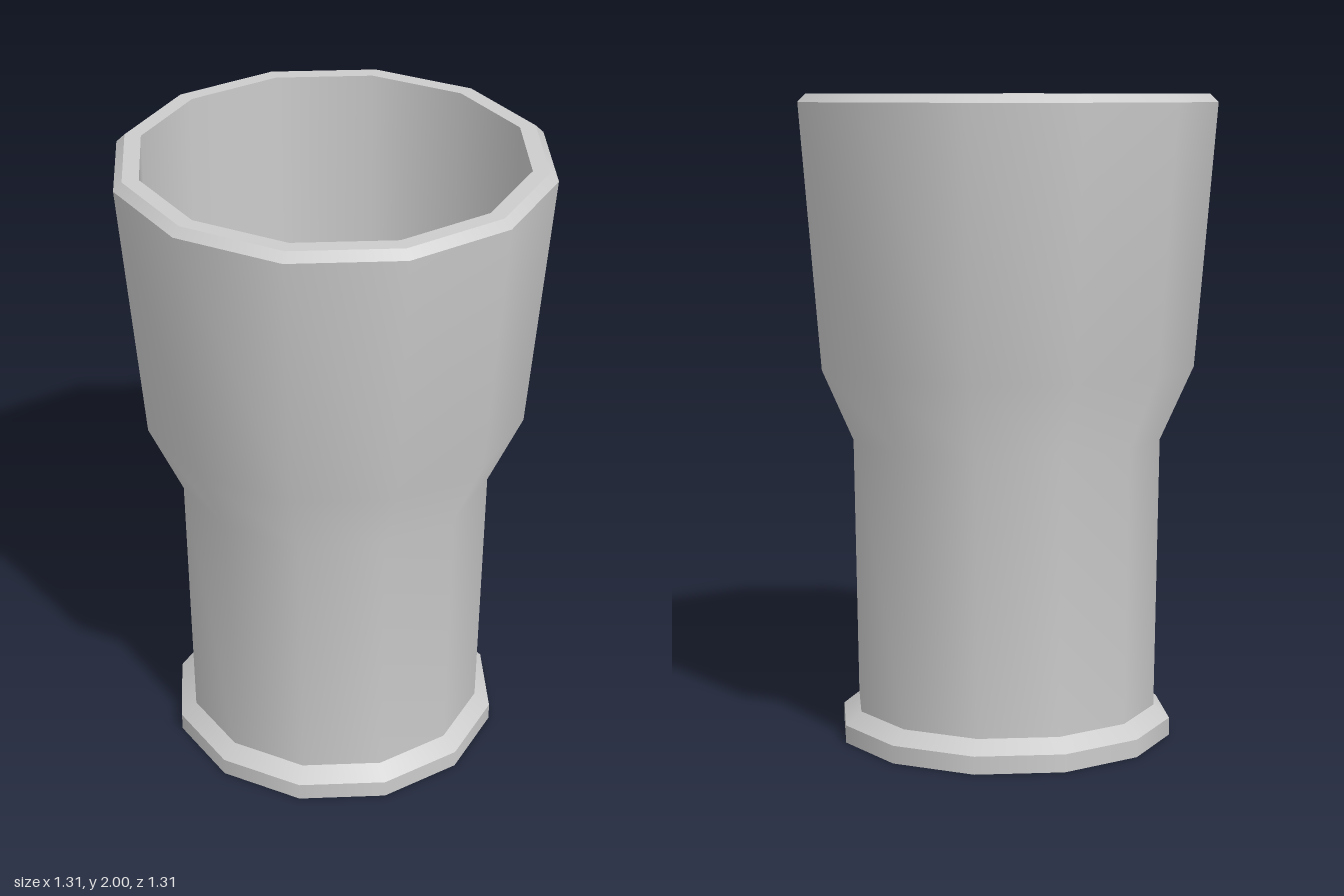
import * as THREE from 'three';

const SIDES = 12;

export function createModel() {
  const group = new THREE.Group();
  const grey = new THREE.MeshStandardMaterial({ color: 0xcccccc });
  grey.name = 'grey';

  // One smooth band per profile, so edges between bands stay sharp
  const band = (name, profile) => {
    const points = profile.map(([r, y]) => new THREE.Vector2(r, y));
    const mesh = new THREE.Mesh(new THREE.LatheGeometry(points, SIDES), grey);
    mesh.name = name;
    group.add(mesh);
  };

  // Foot
  band('footUnderside', [[0, 0], [0.525, 0]]);
  band('footSide', [[0.525, 0], [0.525, 0.055]]);
  band('footBevel', [[0.525, 0.055], [0.475, 0.095]]);

  // Outer wall: narrow stem, flared waist, wide cup
  band('outerWall', [[0.475, 0.095], [0.487, 0.94], [0.59, 1.17], [0.656, 1.975]]);

  // Rim
  band('rimBevel', [[0.656, 1.975], [0.63, 2]]);
  band('rimTop', [[0.63, 2], [0.58, 2]]);

  // Hollow
  band('innerWall', [[0.58, 2], [0.58, 1.2]]);
  band('innerFloor', [[0.58, 1.2], [0, 1.2]]);

  return group;
}
